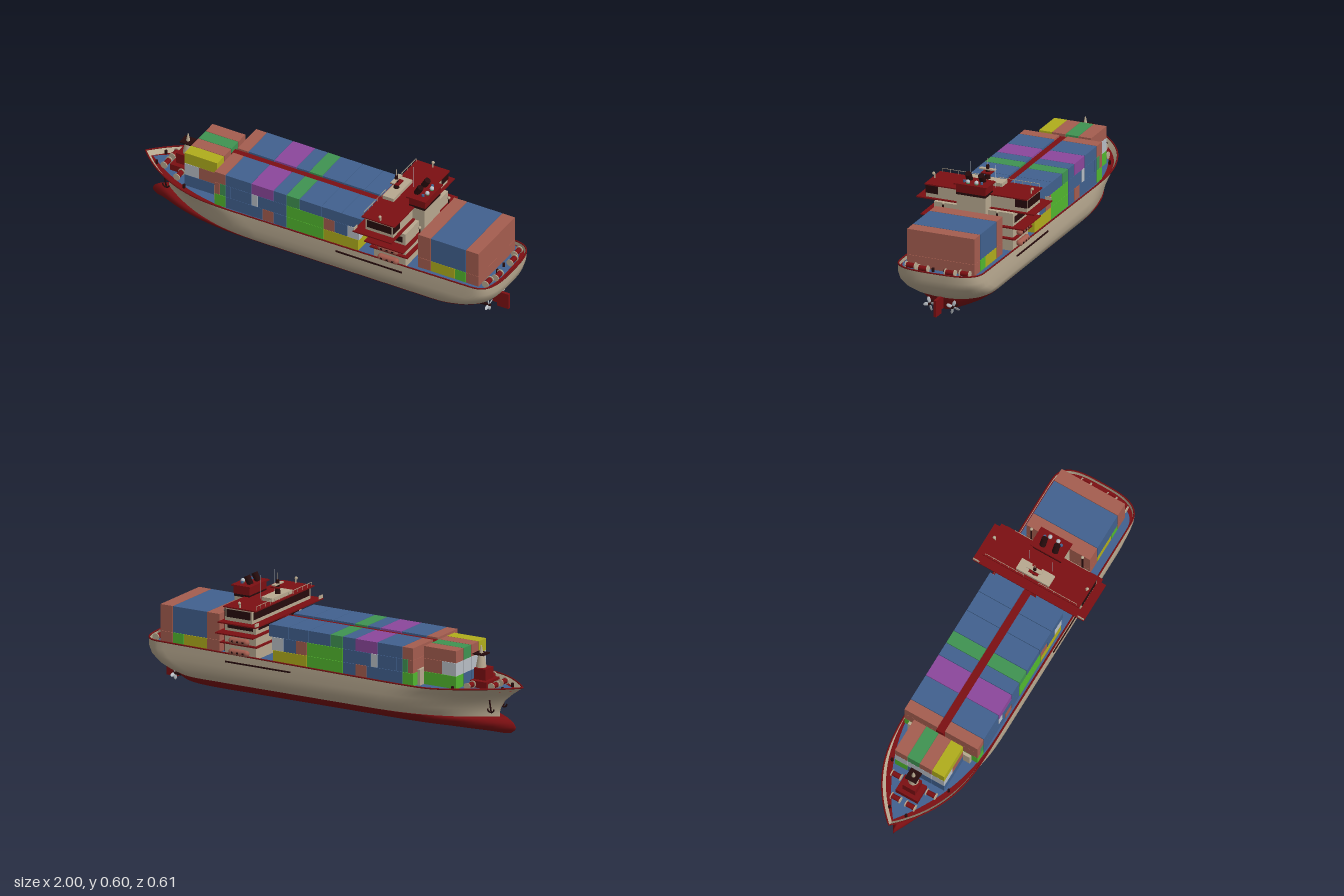
import * as THREE from 'three';

const paint = (name, color, side = THREE.FrontSide) => {
  const m = new THREE.MeshStandardMaterial({ color, side });
  m.name = name;
  return m;
};

export function createModel() {
  const DS = THREE.DoubleSide;
  const beige = paint('beige', 0xb8a990, DS), red = paint('deep red', 0x7c0f12, DS);
  const blue = paint('blue', 0x41618f, DS), rust = paint('terracotta', 0xa55d4f);
  const green = paint('bright green', 0x52b82f), sea = paint('sea green', 0x3f9352);
  const purple = paint('purple', 0x8c479c), yellow = paint('yellow', 0xb0ad1c);
  const grey = paint('pale grey', 0xb9bfc6), dark = paint('dark brown', 0x260b0c);

  const ship = new THREE.Group();
  ship.name = 'containerShip';
  const add = (name, geo, mat, x = 0, y = 0, z = 0) => {
    const m = new THREE.Mesh(geo, mat);
    m.name = name;
    m.position.set(x, y, z);
    ship.add(m);
    return m;
  };
  const box = (name, mat, x0, x1, y0, y1, z0, z1) => add(name,
    new THREE.BoxGeometry(x1 - x0, y1 - y0, Math.abs(z1 - z0)), mat, (x0 + x1) / 2, (y0 + y1) / 2, (z0 + z1) / 2);
  const post = (name, mat, x, y0, y1, z, r0, r1 = r0) => add(name,
    new THREE.CylinderGeometry(r1, r0, y1 - y0, 10), mat, x, (y0 + y1) / 2, z);
  const both = fn => [1, -1].forEach(fn);

  // Closed waterline outline: pointed bow, parallel middle, rounded stern
  const outline = ({ y, xb, xs, w, lb = 0.6, p = 2.4, ls = 0.14, q = 3, sheer = 0 }) => {
    const half = [];
    for (let i = 0; i <= 20; i++) {
      const u = (i / 20) ** 1.5;
      half.push([xb + lb * u, w * (1 - (1 - u) ** p)]);
    }
    for (let i = 0; i <= 14; i++) {
      const a = i / 14 * Math.PI / 2;
      half.push([xs - ls + ls * Math.sin(a) ** (2 / q), w * Math.max(0, Math.cos(a)) ** (2 / q)]);
    }
    const mirrored = half.slice(1, -1).reverse().map(([x, z]) => [x, -z]);
    return [...half, ...mirrored].map(([x, z]) =>
      new THREE.Vector3(x, y - sheer * (1 - THREE.MathUtils.smoothstep(Math.abs(x), 0.55, 0.85)), z));
  };

  // Skin between stacked outlines
  const skin = (name, mat, levels) => {
    const rings = levels.map(outline), n = rings[0].length, index = [];
    for (let j = 0; j < rings.length - 1; j++)
      for (let i = 0; i < n; i++) {
        const a = j * n + i, b = j * n + (i + 1) % n;
        index.push(a, b, b + n, a, b + n, a + n);
      }
    const geo = new THREE.BufferGeometry().setFromPoints(rings.flat());
    geo.setIndex(index);
    geo.computeVertexNormals();
    return add(name, geo, mat);
  };

  // Hull: red bottom with ram bow, beige topsides with flared bow and raked counter
  skin('hullBottom', red, [
    { y: 0.003, xb: -0.9, xs: 0.8, w: 0.004, ls: 0.3 },
    { y: 0.009, xb: -0.93, xs: 0.85, w: 0.05, ls: 0.3, q: 2.4 },
    { y: 0.025, xb: -0.953, xs: 0.865, w: 0.11, ls: 0.28, q: 2.4 },
    { y: 0.04, xb: -0.957, xs: 0.87, w: 0.143, ls: 0.26, q: 2.4 },
    { y: 0.06, xb: -0.945, xs: 0.88, w: 0.169, ls: 0.24, q: 2.4 },
    { y: 0.08, xb: -0.915, xs: 0.885, w: 0.19, ls: 0.22, q: 2.4 },
    { y: 0.081, xb: -0.87, xs: 0.885, w: 0.19, ls: 0.22, q: 2.4 }]);
  const sheerLine = { y: 0.24, xb: -0.996, xs: 0.996, w: 0.217, p: 3, ls: 0.13, q: 3.2, sheer: 0.012 };
  skin('hullTopsides', beige, [
    { y: 0.08, xb: -0.87, xs: 0.885, w: 0.19, ls: 0.22, q: 2.4 },
    { y: 0.1, xb: -0.868, xs: 0.925, w: 0.205, ls: 0.22, q: 2.6 },
    { y: 0.125, xb: -0.875, xs: 0.957, w: 0.218, ls: 0.2, q: 2.8 },
    { y: 0.165, xb: -0.9, xs: 0.987, w: 0.219, p: 2.5, ls: 0.15, q: 3 },
    { y: 0.2, xb: -0.94, xs: 0.995, w: 0.219, p: 2.7, ls: 0.13, q: 3.2 }, sheerLine]);
  add('bulwarkRail', new THREE.TubeGeometry(
    new THREE.CatmullRomCurve3(outline(sheerLine), true), 200, 0.004, 5, true), red);

  // Decks
  const deck = (name, mat, level) => {
    const shape = new THREE.Shape(outline(level).map(v => new THREE.Vector2(v.x, -v.z)));
    add(name, new THREE.ShapeGeometry(shape).rotateX(-Math.PI / 2), mat, 0, level.y, 0);
  };
  deck('deckMargin', red, { y: 0.219, xb: -0.97, xs: 0.99, w: 0.214, p: 2.8, ls: 0.13 });
  deck('mainDeck', blue, { y: 0.222, xb: -0.955, xs: 0.965, w: 0.21, lb: 0.65, ls: 0.12 });

  // Rows of containers: [x0, x1, material] for each tier
  const g = 0.0012;
  const row = (name, y0, y1, z0, z1, list) => list.forEach(([x0, x1, mat]) =>
    box(name, mat, x0 + g, x1 - g, y0, y1 - g, z0, z1));
  both(s => {
    row('midContainerTop', 0.35, 0.41, s * 0.021, s * 0.2, [
      [-0.51, -0.45, rust], [-0.45, -0.31, blue], [-0.31, -0.19, purple], [-0.19, -0.12, blue],
      [-0.12, -0.05, sea], [-0.05, 0.07, blue], [0.07, 0.18, blue], [0.18, 0.29, blue]]);
    row('midContainerMiddle', 0.285, 0.35, s * 0.021, s * 0.2, [
      [-0.51, -0.48, rust], [-0.48, -0.45, sea], [-0.45, -0.42, blue], [-0.42, -0.31, blue],
      [-0.31, -0.275, grey], [-0.275, -0.12, blue], [-0.12, 0.08, green], [0.08, 0.14, rust],
      [0.14, 0.21, blue], [0.21, 0.275, grey]]);
    row('midContainerBottom', 0.222, 0.285, s * 0.021, s * 0.2, [
      [-0.51, -0.45, green], [-0.45, -0.25, blue], [-0.25, -0.19, rust], [-0.19, -0.12, blue],
      [-0.12, 0.08, green], [0.08, 0.27, yellow]]);
  });
  box('centreWalkway', red, -0.52, 0.34, 0.222, 0.4, -0.02, 0.02);
  box('lashingBridge', beige, -0.53, -0.515, 0.222, 0.3, -0.17, 0.17);

  // Forward stack: four columns with different tops
  [rust, sea, rust, yellow].forEach((mat, i) => {
    const z = -0.136 + i * 0.068;
    row('foreContainer', 0.35, 0.41, z + g, z + 0.067, [[-0.71, -0.53, mat]]);
    row('foreContainer', 0.285, 0.35, z + g, z + 0.067, [[-0.71, -0.63, grey], [-0.63, -0.53, rust]]);
    row('foreContainer', 0.222, 0.285, z + g, z + 0.067, [[-0.71, -0.53, i === 0 ? green : blue]]);
  });

  // Aft stack
  row('aftContainerTop', 0.28, 0.41, -0.174, 0.174, [[0.58, 0.65, rust], [0.65, 0.84, blue], [0.84, 0.91, rust]]);
  row('aftContainerBottom', 0.222, 0.28, -0.174, 0.174, [
    [0.58, 0.65, rust], [0.65, 0.78, yellow], [0.78, 0.84, green], [0.84, 0.91, rust]]);

  // Accommodation tower, bridge and red deck edges
  box('tower', beige, 0.36, 0.53, 0.22, 0.41, -0.205, 0.205);
  box('bridge', beige, 0.345, 0.495, 0.412, 0.476, -0.262, 0.262);
  box('engineCasing', beige, 0.47, 0.56, 0.22, 0.48, -0.075, 0.075);
  [[0.284, 0.345, 0.55, 0.222], [0.34, 0.34, 0.55, 0.265], [0.408, 0.3, 0.51, 0.305], [0.476, 0.325, 0.505, 0.265]]
    .forEach(([y, x0, x1, w]) => box('towerDeck', red, x0, x1, y, y + 0.006, -w, w));
  box('bridgeFrontWindows', dark, 0.342, 0.347, 0.432, 0.468, -0.25, 0.25);
  box('towerFrontWindows', dark, 0.357, 0.362, 0.365, 0.392, -0.18, 0.18);
  both(s => {
    box('bridgeSideWindows', dark, 0.355, 0.485, 0.432, 0.47, s * 0.26, s * 0.265);
    box('bridgeAftWindows', dark, 0.493, 0.498, 0.434, 0.472, s * 0.2, s * 0.262);
    box('towerSideWindows', dark, 0.375, 0.515, 0.36, 0.39, s * 0.203, s * 0.208);
    box('wingBulwark', beige, 0.302, 0.306, 0.414, 0.43, s * 0.27, s * 0.303);
    // Lifeboats on two levels
    [0.25, 0.305].forEach(y => {
      const boat = add('lifeboat', new THREE.CapsuleGeometry(0.016, 0.08, 6, 12), rust, 0.445, y, s * 0.219);
      boat.rotation.z = Math.PI / 2;
      for (let i = 0; i < 3; i++)
        box('lifeboatHatch', dark, 0.41 + i * 0.03, 0.42 + i * 0.03, y - 0.004, y + 0.004, s * 0.231, s * 0.236);
    });
    // Wing lamps, antennas and deck posts
    post('lampPost', beige, 0.42, 0.48, 0.505, s * 0.25, 0.004);
    add('lamp', new THREE.SphereGeometry(0.008, 10, 8), beige, 0.42, 0.505, s * 0.255);
    post('antenna', grey, 0.42, 0.48, 0.597, s * 0.063, 0.001);
    post('deckPost', dark, 0.57, 0.222, 0.42, s * 0.14, 0.004);
    add('postLamp', new THREE.SphereGeometry(0.008, 10, 8), beige, 0.57, 0.424, s * 0.14);
    for (let i = 0; i < 6; i++) post('railPost', beige, 0.33, 0.482, 0.5, s * (0.04 + i * 0.042), 0.0012);
    box('roofRail', beige, 0.329, 0.331, 0.499, 0.501, s * 0.04, s * 0.25);
    box('gangway', dark, 0.16, 0.52, 0.193, 0.2, s * 0.218, s * 0.224);
  });

  // Funnel with twin raked exhausts
  box('funnelBand', dark, 0.475, 0.562, 0.478, 0.49, -0.076, 0.076);
  box('funnel', red, 0.475, 0.563, 0.49, 0.53, -0.076, 0.076);
  box('funnelCap', red, 0.465, 0.57, 0.528, 0.535, -0.086, 0.086);
  both(s => {
    const pipe = post('exhaust', dark, 0.505, 0.53, 0.575, s * 0.034, 0.016);
    pipe.rotation.z = -0.5;
    post('ventBody', sea, 0.545, 0.515, 0.54, s * 0.022, 0.01);
    add('ventCap', new THREE.SphereGeometry(0.011, 10, 8), grey, 0.545, 0.543, s * 0.022);
    post('sideVent', blue, 0.535, 0.53, 0.545, s * 0.045, 0.007);
  });

  // Radar mast on the bridge roof
  box('mastHouse', beige, 0.34, 0.4, 0.482, 0.5, -0.09, 0.09);
  post('radarMast', dark, 0.365, 0.5, 0.57, 0, 0.014, 0.007);
  post('mastTop', beige, 0.365, 0.57, 0.602, 0, 0.002);
  box('radarBar', beige, 0.355, 0.375, 0.545, 0.551, -0.04, 0.04);
  box('mastPlatform', red, 0.345, 0.39, 0.53, 0.535, -0.025, 0.025);

  // Forecastle house, foremast and winches
  box('foreHouse', red, -0.83, -0.74, 0.222, 0.255, -0.06, 0.06);
  box('foreHouseTop', red, -0.81, -0.745, 0.255, 0.31, -0.035, 0.035);
  post('foremast', beige, -0.765, 0.31, 0.375, 0, 0.026, 0.014);
  box('foremastPlatform', dark, -0.795, -0.735, 0.372, 0.378, -0.03, 0.03);
  post('foremastTop', beige, -0.765, 0.378, 0.415, 0, 0.01, 0.003);
  const drum = (x, z) => {
    add('winchDrum', new THREE.CylinderGeometry(0.013, 0.013, 0.045, 12), red, x, 0.24, z).rotation.x = Math.PI / 2;
    both(s => add('winchFlange', new THREE.CylinderGeometry(0.018, 0.018, 0.005, 12), beige,
      x, 0.24, z + s * 0.024).rotation.x = Math.PI / 2);
  };
  both(s => {
    drum(-0.86, s * 0.04);
    drum(-0.76, s * 0.095);
    drum(0.955, s * 0.07);
    drum(0.94, s * 0.14);
    [-0.91, -0.7, 0.93].forEach((x, i) => post('bollard', dark, x, 0.222, 0.24, s * [0.045, 0.155, 0.03][i], 0.007));
    // Anchors against the flared bow
    post('anchorShank', dark, -0.853, 0.115, 0.175, s * 0.062, 0.004).rotation.x = s * 0.25;
    const fluke = add('anchorFlukes', new THREE.TorusGeometry(0.018, 0.004, 6, 12, Math.PI), dark, -0.853, 0.13, s * 0.058);
    fluke.rotation.z = Math.PI;
    // Propellers
    const hub = post('propellerHub', dark, 0.885, 0.0, 0.05, s * 0.06, 0.009, 0.006);
    hub.rotation.z = -Math.PI / 2;
    hub.position.y = 0.045;
    for (let i = 0; i < 4; i++) {
      const blade = add('propellerBlade', new THREE.SphereGeometry(1, 10, 8)
        .scale(0.003, 0.016, 0.009).rotateY(0.5).translate(0, 0.02, 0), grey, 0.9, 0.045, s * 0.06);
      blade.rotation.x = s * (0.25 + i * Math.PI / 2);
    }
  });

  // Rudder
  box('rudder', red, 0.915, 0.977, 0.012, 0.095, -0.007, 0.007);
  box('rudderHorn', red, 0.89, 0.913, 0.03, 0.1, -0.006, 0.006);
  return ship;
}
